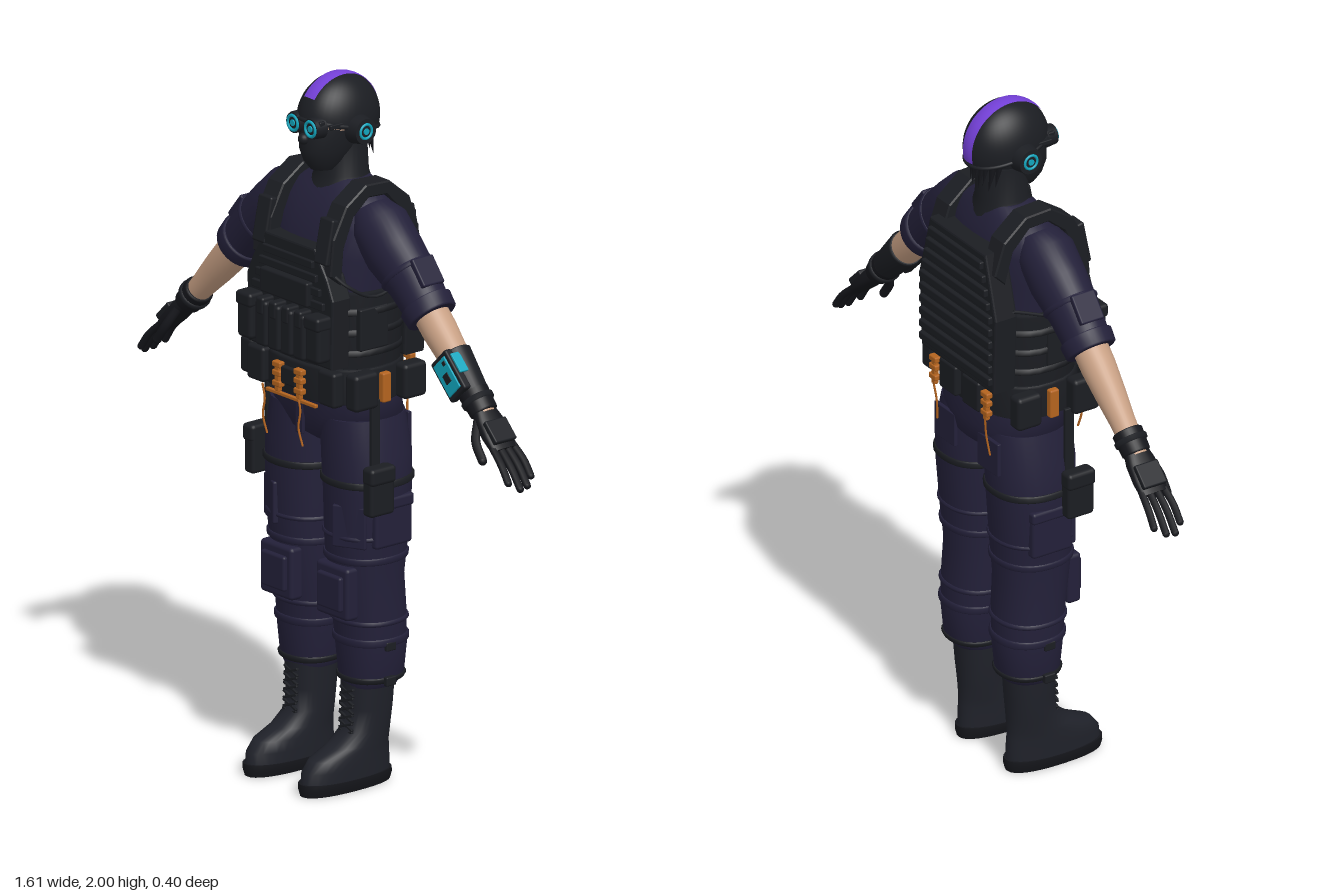
import * as THREE from 'three';
import { RoundedBoxGeometry } from 'three/addons/geometries/RoundedBoxGeometry.js';

const mat = (name, color, side = THREE.FrontSide) => {
  const m = new THREE.MeshStandardMaterial({ color, side });
  m.name = name;
  return m;
};
const CLOTH = mat('navy cloth', 0x232039), GEAR = mat('black gear', 0x1b1d22, THREE.DoubleSide);
const BOOT = mat('boot leather', 0x1f2129), GLOVE = mat('glove black', 0x15161b);
const SKIN = mat('skin', 0xc8a084), PURPLE = mat('purple stripe', 0x7440d8, THREE.DoubleSide);
const CYAN = mat('cyan light', 0x12a6be), ORANGE = mat('orange strap', 0xb4641f);

function add(parent, name, geo, m, pos = [0, 0, 0], rot = [0, 0, 0]) {
  const mesh = new THREE.Mesh(geo, m);
  mesh.name = name;
  mesh.position.set(...pos);
  mesh.rotation.set(...rot);
  parent.add(mesh);
  return mesh;
}
const box = (p, name, m, size, pos, rot) =>
  add(p, name, new RoundedBoxGeometry(...size, 2, Math.min(...size) * 0.25), m, pos, rot);
const group = (p, name, sx = 1) => {
  const g = new THREE.Group();
  g.name = name;
  g.scale.x = sx;
  p.add(g);
  return g;
};

// Closed skin over level cross-sections [y, cx, cz, rx, rz]; e < 1 squares the outline
function loft(secs, e = 1, n = 32) {
  const s = [...secs].sort((a, b) => a[0] - b[0]), pos = [], idx = [];
  const pow = v => Math.sign(v) * Math.abs(v) ** e;
  const ring = ([y, cx, cz, rx, rz]) => {
    for (let j = 0; j < n; j++) {
      const a = j / n * Math.PI * 2;
      pos.push(cx + rx * pow(Math.cos(a)), y, cz + rz * pow(Math.sin(a)));
    }
  };
  s.forEach(ring);
  for (let i = 0; i < s.length - 1; i++) for (let j = 0; j < n; j++) {
    const k = (j + 1) % n, a = i * n + j, b = i * n + k;
    idx.push(a, a + n, b, b, a + n, b + n);
  }
  for (const [sec, top] of [[s[0], false], [s[s.length - 1], true]]) {
    const o = pos.length / 3;
    ring(sec);
    for (let j = 1; j < n - 1; j++) idx.push(o, o + (top ? j + 1 : j), o + (top ? j : j + 1));
  }
  const g = new THREE.BufferGeometry();
  g.setAttribute('position', new THREE.Float32BufferAttribute(pos, 3));
  g.setIndex(idx);
  g.computeVertexNormals();
  return g;
}
// Section at height y of a loft, grown outward; band() wraps a strap round it
function at(secs, y, grow) {
  const s = [...secs].sort((a, b) => a[0] - b[0]);
  let i = 0;
  while (i < s.length - 2 && s[i + 1][0] < y) i++;
  const t = (y - s[i][0]) / (s[i + 1][0] - s[i][0]);
  const r = s[i].map((v, k) => v + (s[i + 1][k] - v) * t);
  return [y, r[1], r[2], r[3] + grow, r[4] + grow];
}
const band = (secs, y0, y1, grow, e) =>
  loft([at(secs, y0, grow * 0.4), at(secs, y0 + 0.004, grow), at(secs, y1 - 0.004, grow), at(secs, y1, grow * 0.4)], e);
// Symmetric plate from the points of its right half
function plate(half, depth) {
  const pts = [...half, ...half.map(([x, y]) => [-x, y]).reverse()].map(p => new THREE.Vector2(...p));
  return new THREE.ExtrudeGeometry(new THREE.Shape(pts),
    { depth, bevelThickness: 0.006, bevelSize: 0.006, bevelSegments: 2 });
}
const tube = (pts, r, seg = 16) => new THREE.TubeGeometry(
  new THREE.CatmullRomCurve3(pts.map(p => new THREE.Vector3(...p))), seg, r, 8);

function buildHead(root) {
  const h = group(root, 'head');
  add(h, 'faceMask', loft([[1.74, 0, 0.02, 0.035, 0.045], [1.765, 0, 0.015, 0.052, 0.07], [1.80, 0, 0.005, 0.066, 0.092],
    [1.84, 0, -0.01, 0.074, 0.105], [1.865, 0, -0.015, 0.076, 0.105]]), GEAR);
  add(h, 'eyeArea', loft([[1.86, 0, -0.015, 0.076, 0.104], [1.89, 0, -0.018, 0.077, 0.102], [1.93, 0, -0.02, 0.075, 0.1]]), SKIN);
  add(h, 'nose', new THREE.SphereGeometry(0.016, 16, 12), GEAR, [0, 1.835, 0.096]);
  add(h, 'neck', loft([[1.64, 0, -0.03, 0.125, 0.1], [1.68, 0, -0.035, 0.1, 0.085], [1.72, 0, -0.04, 0.074, 0.074], [1.82, 0, -0.04, 0.066, 0.07]]), GEAR);
  const helmet = group(h, 'helmet');
  helmet.position.set(0, 1.875, -0.027);
  helmet.rotation.x = -0.22;
  add(helmet, 'shell', new THREE.SphereGeometry(1, 40, 20, 0, Math.PI * 2, 0, Math.PI * 0.54), GEAR).scale.set(0.093, 0.125, 0.127);
  add(helmet, 'rim', new THREE.TorusGeometry(1, 0.05, 8, 40), GEAR, [0, -0.012, 0], [Math.PI / 2, 0, 0]).scale.set(0.092, 0.126, 0.12);
  // Stripe bent over the crown
  const stripe = new THREE.PlaneGeometry(0.044, 1, 4, 32), p = stripe.attributes.position;
  for (let i = 0; i < p.count; i++) {
    const x = p.getX(i), a = 0.2 + p.getY(i) * 2.75, k = Math.sqrt(1 - (x / 0.093) ** 2);
    p.setXYZ(i, x, 0.1275 * k * Math.cos(a), -0.1295 * k * Math.sin(a));
  }
  stripe.computeVertexNormals();
  add(helmet, 'stripe', stripe, PURPLE);
  // Goggles and ear cups
  box(h, 'goggleBridge', GEAR, [0.13, 0.016, 0.02], [0, 1.888, 0.082]);
  for (const s of [1, -1]) {
    const q = group(h, s > 0 ? 'leftHeadGear' : 'rightHeadGear', s);
    add(q, 'goggle', new THREE.CylinderGeometry(0.029, 0.032, 0.035, 24), GEAR, [0.037, 1.873, 0.085], [Math.PI / 2, 0, 0]);
    add(q, 'goggleRing', new THREE.TorusGeometry(0.021, 0.0045, 8, 24), CYAN, [0.037, 1.873, 0.103]);
    add(q, 'goggleLens', new THREE.CylinderGeometry(0.009, 0.009, 0.006, 16), CYAN, [0.037, 1.873, 0.103], [Math.PI / 2, 0, 0]);
    box(q, 'goggleStrap', GEAR, [0.012, 0.014, 0.1], [0.078, 1.88, 0.02]);
    add(q, 'earCup', new THREE.CylinderGeometry(0.036, 0.043, 0.04, 24), GEAR, [0.1, 1.86, -0.025], [0, 0, -Math.PI / 2]);
    add(q, 'earRing', new THREE.TorusGeometry(0.02, 0.004, 8, 24), CYAN, [0.12, 1.86, -0.025], [0, Math.PI / 2, 0]);
    add(q, 'earLight', new THREE.CylinderGeometry(0.009, 0.009, 0.005, 16), CYAN, [0.121, 1.86, -0.025], [0, 0, Math.PI / 2]);
  }
  for (let i = -4; i <= 4; i++) // hair below the helmet
    add(h, 'hairTuft', new THREE.ConeGeometry(0.013, 0.08, 6), GLOVE,
      [i * 0.015, 1.815 - (i & 1) * 0.015, -0.122 + i * i * 0.0018], [Math.PI + 0.2, 0, 0]);
}

function buildTorso(root) {
  const t = group(root, 'torso');
  const S = [[1.08, 0, -0.02, 0.19, 0.13], [1.25, 0, -0.01, 0.18, 0.125], [1.4, 0, -0.01, 0.188, 0.13], [1.52, 0, -0.015, 0.2, 0.13],
    [1.6, 0, -0.025, 0.205, 0.118], [1.65, 0, -0.03, 0.19, 0.1], [1.69, 0, -0.035, 0.145, 0.08], [1.715, 0, -0.04, 0.08, 0.06]];
  add(t, 'shirt', loft(S, 0.85), CLOTH);
  add(t, 'vestWrap', band(S, 1.21, 1.43, 0.018, 0.8), GEAR);
  for (let i = 0; i < 3; i++) add(t, 'wrapStrap', band(S, 1.245 + i * 0.06, 1.27 + i * 0.06, 0.025, 0.8), GEAR);
  add(t, 'frontPlate', plate([[0.17, 1.23], [0.175, 1.42], [0.15, 1.475], [0.1, 1.55]], 0.055), GEAR, [0, 0, 0.085]);
  add(t, 'backPlate', plate([[0.17, 1.22], [0.18, 1.44], [0.13, 1.62]], 0.06), GEAR, [0, 0, -0.18]);
  // Webbing rows
  for (let i = 0; i < 4; i++) box(t, 'chestWebbing', GEAR, [0.3 - i * 0.03, 0.022, 0.012], [0, 1.4 + i * 0.037, 0.15]);
  for (let i = 0; i < 10; i++) box(t, 'backWebbing', GEAR, [i < 6 ? 0.34 : 0.34 - (i - 5) * 0.021, 0.024, 0.018], [0, 1.25 + i * 0.038, -0.189]);
  box(t, 'chestPouch', GEAR, [0.2, 0.07, 0.025], [0, 1.425, 0.157]);
  for (let i = 0; i < 4; i++) {
    const x = (i - 1.5) * 0.053;
    box(t, 'magazinePouch', GEAR, [0.047, 0.13, 0.04], [x, 1.305, 0.165]);
    box(t, 'magazineFlap', GEAR, [0.03, 0.05, 0.046], [x, 1.355, 0.165]);
  }
  for (const s of [1, -1]) {
    const q = group(t, s > 0 ? 'leftVestSide' : 'rightVestSide', s);
    box(q, 'sidePouch', GEAR, [0.06, 0.125, 0.05], [0.143, 1.31, 0.165]);
    box(q, 'sidePouchFlap', GEAR, [0.064, 0.04, 0.055], [0.143, 1.36, 0.167]);
    box(q, 'ribPouch', GEAR, [0.02, 0.12, 0.1], [0.2, 1.33, 0.02]);
    // Shoulder strap from chest to back plate
    const o = [[0.135, 1.49], [0.125, 1.59], [0.08, 1.675], [0.01, 1.722], [-0.07, 1.718], [-0.14, 1.66], [-0.17, 1.57]];
    const inner = o.map(([z, y]) => [z * 0.8 - 0.005, y - 0.03]).reverse();
    const g = new THREE.ExtrudeGeometry(new THREE.Shape([...o, ...inner].map(p => new THREE.Vector2(...p))),
      { depth: 0.058, bevelThickness: 0.004, bevelSize: 0.004, bevelSegments: 1 });
    add(q, 'shoulderStrap', g.rotateY(-Math.PI / 2).translate(0.162, 0, 0), GEAR);
    box(q, 'strapBuckle', GEAR, [0.055, 0.13, 0.025], [0.13, 1.58, 0.125], [-0.2, 0, 0]);
    add(q, 'cable', tube([[0.12, 1.52, 0.14], [0.19, 1.46, 0.1], [0.21, 1.42, 0.02], [0.19, 1.46, -0.13]], 0.005), GEAR);
  }
  // Belt with pouches and orange straps
  const b = group(root, 'belt');
  add(b, 'beltBand', loft([[1.11, 0, -0.012, 0.198, 0.145], [1.115, 0, -0.012, 0.205, 0.152], [1.205, 0, -0.012, 0.205, 0.152], [1.21, 0, -0.012, 0.198, 0.145]], 0.8), GEAR);
  box(b, 'beltBuckle', GEAR, [0.06, 0.05, 0.02], [0, 1.165, 0.143]);
  box(b, 'orangeHem', ORANGE, [0.21, 0.01, 0.012], [0, 1.103, 0.138]);
  for (const s of [1, -1]) {
    const q = group(b, s > 0 ? 'leftBeltSide' : 'rightBeltSide', s);
    box(q, 'hipPouch', GEAR, [0.05, 0.105, 0.085], [0.222, 1.165, 0.075]);
    box(q, 'rearPouch', GEAR, [0.05, 0.1, 0.08], [0.213, 1.16, -0.105]);
    box(q, 'frontPouch', GEAR, [0.07, 0.1, 0.04], [0.15, 1.165, 0.125]);
    box(q, 'backPouch', GEAR, [0.08, 0.09, 0.03], [0.055, 1.165, -0.168]);
    for (const [x, z] of [[0.045, 0.148], [0.125, -0.175]]) {
      for (const y of [1.135, 1.165, 1.19]) box(q, 'orangeClip', ORANGE, [0.034, 0.017, 0.02], [x, y, z]);
      box(q, 'orangeStrap', ORANGE, [0.018, 0.085, 0.014], [x, 1.155, z]);
    }
    box(q, 'sideOrangeStrap', ORANGE, [0.022, 0.085, 0.03], [0.212, 1.155, -0.015]);
    add(q, 'backWire', tube([[0.125, 1.12, -0.18], [0.12, 1.06, -0.172], [0.128, 1.0, -0.165]], 0.003), ORANGE);
  }
  for (const x of [-0.1, 0.05])
    add(b, 'hangingWire', tube([[x - 0.01, 1.12, 0.15], [x, 1.08, 0.15], [x - 0.005, 1.03, 0.152], [x + 0.008, 0.98, 0.148]], 0.003), ORANGE);
}

function buildArm(root, s) {
  // Built hanging down, then swung outward at the shoulder
  const side = group(root, s > 0 ? 'leftArm' : 'rightArm', s), a = group(side, 'arm');
  a.position.set(0.17, 1.64, -0.02);
  a.rotation.z = Math.PI / 4;
  const U = [[0.02, -0.01, 0, 0.05, 0.06], [-0.03, -0.012, 0, 0.085, 0.08], [-0.12, -0.012, 0, 0.09, 0.078], [-0.22, 0, 0, 0.078, 0.07], [-0.32, 0, 0, 0.066, 0.064]];
  add(a, 'sleeve', loft(U), CLOTH);
  add(a, 'sleeveCuff', band(U, -0.335, -0.29, 0.009), CLOTH);
  add(a, 'sleeveBand', band(U, -0.2, -0.185, 0.005), CLOTH);
  box(a, 'sleevePocket', CLOTH, [0.02, 0.085, 0.075], [0.07, -0.23, 0], [0, 0, -0.1]);
  const F = [[-0.3, 0, 0, 0.05, 0.05], [-0.38, 0, 0, 0.05, 0.049], [-0.46, 0, 0, 0.045, 0.043], [-0.54, 0, 0, 0.037, 0.036], [-0.65, 0, 0, 0.027, 0.032]];
  add(a, 'forearm', loft(F), SKIN);
  add(a, 'gloveCuff', band(F, -0.645, -0.575, 0.009), GLOVE);
  add(a, 'wristStrap', band(F, -0.615, -0.595, 0.014), GEAR);
  if (s > 0) { // wrist computer
    add(a, 'bracer', band(F, -0.585, -0.455, 0.008), GEAR);
    box(a, 'screenFrame', GEAR, [0.085, 0.125, 0.025], [0, -0.515, 0.042]);
    box(a, 'screen', CYAN, [0.062, 0.098, 0.008], [0, -0.515, 0.055]);
    box(a, 'screenIcon', GEAR, [0.026, 0.028, 0.006], [0, -0.52, 0.058]);
    box(a, 'screenKey', GEAR, [0.014, 0.012, 0.006], [0.018, -0.482, 0.058]);
    box(a, 'outerPanel', CYAN, [0.008, 0.06, 0.03], [0.044, -0.5, 0.03]);
  }
  // Glove
  add(a, 'palm', loft([[-0.63, 0, 0, 0.024, 0.034], [-0.67, 0, 0, 0.023, 0.044], [-0.72, 0, 0, 0.02, 0.047], [-0.765, 0, 0, 0.014, 0.043]], 0.8), GLOVE);
  box(a, 'knuckleGuard', GEAR, [0.018, 0.07, 0.075], [0.02, -0.715, 0]);
  [0.1, 0.125, 0.12, 0.095].forEach((len, i) => {
    const z = 0.034 - i * 0.023;
    add(a, 'finger', tube([[0, -0.75, z], [0.003, -0.76 - len / 2, z * 1.15], [-0.005, -0.76 - len, z * 1.2]], 0.0105), GLOVE);
    add(a, 'fingertip', new THREE.SphereGeometry(0.0105, 10, 8), GLOVE, [-0.005, -0.76 - len, z * 1.2]);
  });
  add(a, 'thumb', tube([[-0.005, -0.66, 0.03], [-0.025, -0.71, 0.055], [-0.035, -0.765, 0.058]], 0.013), GLOVE);
  add(a, 'thumbTip', new THREE.SphereGeometry(0.013, 10, 8), GLOVE, [-0.035, -0.765, 0.058]);
}

function buildLeg(root, s) {
  const l = group(root, s > 0 ? 'leftLeg' : 'rightLeg', s);
  const L = [[1.06, 0.105, -0.025, 0.1, 0.12], [0.95, 0.118, -0.028, 0.113, 0.125], [0.85, 0.122, -0.028, 0.115, 0.12], [0.7, 0.12, -0.025, 0.108, 0.112],
    [0.6, 0.118, -0.025, 0.1, 0.103], [0.5, 0.12, -0.035, 0.1, 0.098], [0.4, 0.123, -0.04, 0.093, 0.096], [0.31, 0.123, -0.04, 0.084, 0.088], [0.285, 0.121, -0.035, 0.07, 0.075]];
  add(l, 'trouserLeg', loft(L, 0.9), CLOTH);
  for (const [y, h, g] of [[0.72, 0.012, 0.005], [0.65, 0.02, 0.006], [0.47, 0.014, 0.006], [0.41, 0.022, 0.006]])
    add(l, 'legStrap', band(L, y, y + h, g, 0.9), CLOTH);
  add(l, 'ankleStrap', band(L, 0.3, 0.318, 0.006, 0.9), GEAR);
  add(l, 'thighStrap', band(L, 0.87, 0.89, 0.006, 0.9), GEAR);
  box(l, 'kneePad', CLOTH, [0.135, 0.15, 0.045], [0.118, 0.57, 0.075]);
  box(l, 'kneeCap', CLOTH, [0.1, 0.1, 0.03], [0.118, 0.57, 0.095]);
  box(l, 'cargoPocket', CLOTH, [0.04, 0.13, 0.13], [0.215, 0.765, -0.03]);
  box(l, 'cargoFlap', CLOTH, [0.046, 0.035, 0.136], [0.217, 0.825, -0.03]);
  box(l, 'frontPocket', CLOTH, [0.1, 0.12, 0.02], [0.165, 0.76, 0.07], [0, 0.45, 0]);
  box(l, 'rearPocket', CLOTH, [0.1, 0.1, 0.012], [0.105, 0.99, -0.152]);
  box(l, 'thighPouch', GEAR, [0.04, 0.14, 0.085], [0.25, 0.88, 0.04]);
  box(l, 'thighPouchFlap', GEAR, [0.046, 0.05, 0.09], [0.253, 0.925, 0.04]);
  box(l, 'pouchHanger', GEAR, [0.012, 0.2, 0.03], [0.222, 1.03, 0.03]);
  for (const y of [0.31, 0.41]) box(l, 'strapBuckle', GEAR, [0.016, 0.026, 0.035], [0.215, y, -0.03]);
  // Boot
  const B = [[0.32, 0.119, -0.032, 0.068, 0.076], [0.22, 0.118, -0.03, 0.064, 0.07], [0.16, 0.117, -0.024, 0.057, 0.072], [0.12, 0.117, 0.005, 0.056, 0.1],
    [0.095, 0.117, 0.035, 0.057, 0.132], [0.065, 0.117, 0.046, 0.058, 0.146], [0.02, 0.117, 0.048, 0.057, 0.149]];
  add(l, 'boot', loft(B, 0.9), BOOT);
  add(l, 'sole', loft([[0, 0.117, 0.048, 0.052, 0.15], [0.02, 0.117, 0.048, 0.06, 0.155], [0.035, 0.117, 0.048, 0.06, 0.154]], 0.85), GLOVE);
  for (let i = 0; i < 6; i++) for (const r of [0.35, -0.35])
    box(l, 'lace', GEAR, [0.06, 0.007, 0.008], [0.118, 0.15 + i * 0.024, 0.046 - i * 0.001], [0, 0, r]);
}

export function createModel() {
  const root = new THREE.Group();
  root.name = 'tacticalFigure';
  buildHead(root);
  buildTorso(root);
  add(root, 'trouserSeat', loft([[0.965, 0, -0.03, 0.05, 0.07], [1.0, 0, -0.032, 0.15, 0.122], [1.06, 0, -0.028, 0.205, 0.138], [1.12, 0, -0.022, 0.198, 0.135]], 0.85), CLOTH);
  box(root, 'fly', CLOTH, [0.03, 0.11, 0.01], [0, 1.05, 0.108]);
  for (const s of [1, -1]) {
    buildArm(root, s);
    buildLeg(root, s);
  }
  return root;
}
